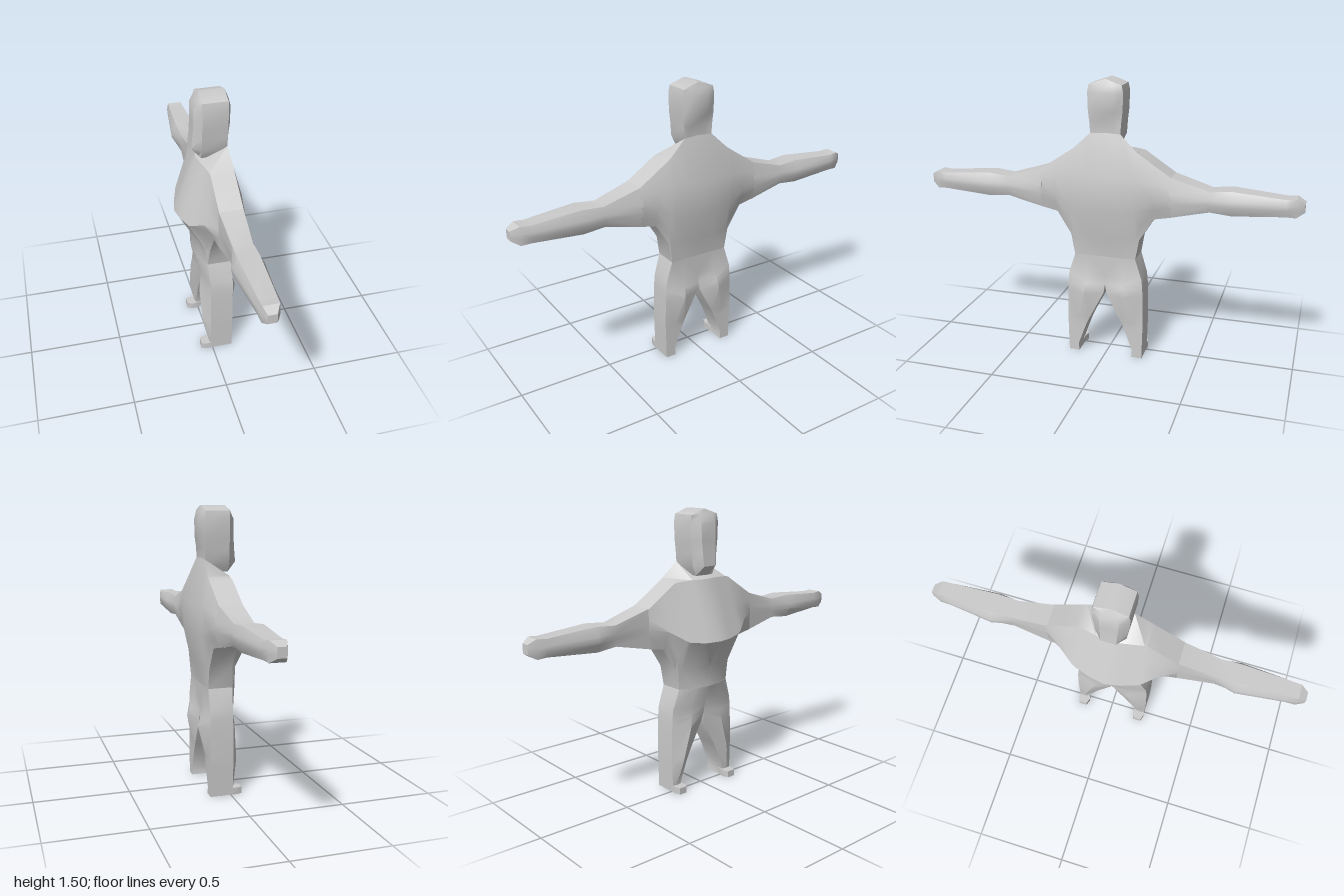
import * as THREE from 'three';
import { toCreasedNormals } from 'three/addons/utils/BufferGeometryUtils.js';

const material = new THREE.MeshStandardMaterial({ color: 0xcccccc });

// Skin closed rings of [x, y, z] points, cap both ends, and turn faces outward.
function loft(name, rings) {
  const n = rings[0].length;
  const pts = rings.flat();
  const index = [];
  for (let r = 0; r < rings.length - 1; r++) {
    for (let i = 0; i < n; i++) {
      const j = (i + 1) % n, a = r * n + i, b = r * n + j;
      index.push(a, b, b + n, a, b + n, a + n);
    }
  }
  [0, rings.length - 1].forEach((r) => {
    const centre = [0, 1, 2].map((k) => rings[r].reduce((s, p) => s + p[k], 0) / n);
    const c = pts.push(centre) - 1;
    for (let i = 0; i < n; i++) {
      const a = r * n + i, b = r * n + (i + 1) % n;
      if (r === 0) index.push(c, b, a);
      else index.push(c, a, b);
    }
  });
  const v = pts.map((p) => new THREE.Vector3(...p));
  let volume = 0;
  for (let i = 0; i < index.length; i += 3) {
    volume += v[index[i]].dot(v[index[i + 1]].clone().cross(v[index[i + 2]]));
  }
  if (volume < 0) index.reverse();
  const geometry = new THREE.BufferGeometry();
  geometry.setAttribute('position', new THREE.Float32BufferAttribute(pts.flat(), 3));
  geometry.setIndex(index);
  const mesh = new THREE.Mesh(toCreasedNormals(geometry, 0.6), material);
  mesh.name = name;
  return mesh;
}

// Torso slice at z: five heights, the chest x at each, the back x at each.
function torsoRing(z, ys, chest, back, neckY = ys[0]) {
  const front = ys.map((y, i) => [chest[i], y, z]);
  const rear = ys.map((y, i) => [back[i], i === 0 ? neckY : y, z]);
  return [...front, ...rear.reverse()];
}

// Arm slice at z: a flat-edged section with a ridge at mid height.
function armRing([z, top, bottom, rimF, ridgeF, rimB, ridgeB], side) {
  const mid = (top + bottom) / 2;
  const q = (top - bottom) * 0.12;
  return [
    [rimF, top, z * side], [ridgeF, mid + q, z * side], [ridgeF, mid - q, z * side], [rimF, bottom, z * side],
    [rimB, bottom, z * side], [ridgeB, mid - q, z * side], [ridgeB, mid + q, z * side], [rimB, top, z * side],
  ];
}

// Head slice at y: flat sides with a narrower raised face and back.
function headRing([y, w, rimF, faceF, rimB, faceB]) {
  const k = w * 0.5;
  return [
    [rimF, y, -w], [faceF, y, -k], [faceF, y, k], [rimF, y, w],
    [rimB, y, w], [faceB, y, k], [faceB, y, -k], [rimB, y, -w],
  ];
}

// Leg slice at y: inner, middle and outer points on the front and the back.
function legRing([y, inner, outer, fi, fm, fo, bm], side) {
  const mid = (inner + outer) / 2;
  return [
    [fi, y, inner * side], [fm, y, mid * side], [fo, y, outer * side],
    [0.11, y, outer * side], [bm, y, mid * side], [0.11, y, inner * side],
  ];
}

export function createModel() {
  const body = new THREE.Group();
  body.name = 'figure';

  // Torso from shoulder to shoulder, swelling at the chest
  const slices = [
    [0, [1.14, 1.0, 0.83, 0.68, 0.57], [-0.045, -0.1, -0.16, -0.07, -0.07], [0.1, 0.16, 0.16, 0.125, 0.11], 1.23],
    [0.08, [1.14, 1.0, 0.83, 0.68, 0.57], [-0.03, -0.085, -0.145, -0.06, -0.06], [0.1, 0.157, 0.157, 0.122, 0.11], 1.225],
    [0.165, [1.135, 1.0, 0.84, 0.68, 0.57], [-0.012, -0.06, -0.12, -0.035, -0.02], [0.11, 0.15, 0.15, 0.115, 0.11], 1.145],
    [0.185, [1.13, 1.0, 0.85, 0.74, 0.68], [-0.012, -0.055, -0.113, -0.035, -0.012], [0.11, 0.148, 0.147, 0.12, 0.11]],
    [0.26, [1.08, 0.99, 0.9, 0.85, 0.8], [-0.012, -0.04, -0.065, -0.035, -0.012], [0.11, 0.135, 0.14, 0.125, 0.11]],
    [0.35, [1.02, 0.97, 0.92, 0.87, 0.818], [-0.012, -0.013, -0.015, -0.013, -0.012], [0.11, 0.123, 0.13, 0.123, 0.11]],
  ];
  const half = slices.map(([z, ...rest]) => torsoRing(z, ...rest));
  const otherHalf = slices.slice(1).reverse().map(([z, ...rest]) => torsoRing(-z, ...rest));
  body.add(loft('torso', [...otherHalf, ...half]));

  // Head with a jutting chin and a shallow ridged crown
  const headRows = [
    [1.16, 0.055, -0.03, -0.035, 0.1, 0.1],
    [1.21, 0.078, -0.03, -0.075, 0.1, 0.1],
    [1.28, 0.083, -0.03, -0.068, 0.1, 0.1],
    [1.34, 0.09, -0.03, -0.064, 0.1, 0.12],
    [1.43, 0.093, -0.03, -0.062, 0.1, 0.12],
    [1.47, 0.085, -0.03, -0.045, 0.1, 0.11],
    [1.497, 0.006, -0.03, -0.03, 0.1, 0.1],
  ];
  body.add(loft('head', headRows.map(headRing)));

  const armRows = [
    [0.34, 1.025, 0.816, -0.012, -0.015, 0.11, 0.13],
    [0.54, 0.965, 0.86, 0, -0.003, 0.1, 0.112],
    [0.65, 0.975, 0.85, -0.005, -0.032, 0.1, 0.125],
    [0.91, 0.955, 0.868, 0.01, 0, 0.095, 0.107],
    [0.96, 0.96, 0.865, 0.012, 0.006, 0.09, 0.095],
    [1.0, 0.938, 0.89, 0.025, 0.023, 0.068, 0.07],
  ];
  const legRows = [
    [0.57, 0, 0.165, -0.07, -0.06, -0.02, 0.11],
    [0.46, 0, 0.2, -0.035, -0.037, -0.012, 0.11],
    [0.41, 0, 0.205, -0.025, -0.045, -0.012, 0.135],
    [0.36, 0.008, 0.207, -0.015, -0.052, -0.012, 0.15],
    [0.2, 0.09, 0.21, -0.012, -0.047, -0.012, 0.112],
    [0.16, 0.108, 0.209, -0.012, -0.043, -0.012, 0.11],
    [0.04, 0.152, 0.206, -0.012, -0.016, -0.012, 0.11],
    [0, 0.148, 0.205, -0.012, -0.016, -0.012, 0.11],
  ];
  // Toe rows: x, inner z, outer z
  const toeRows = [[0.02, 0.15, 0.205], [-0.03, 0.14, 0.207], [-0.062, 0.152, 0.198]];

  for (const [side, label] of [[1, 'left'], [-1, 'right']]) {
    body.add(loft(label + 'Arm', armRows.map((row) => armRing(row, side))));
    body.add(loft(label + 'Leg', legRows.map((row) => legRing(row, side))));
    body.add(loft(label + 'Foot', toeRows.map(([x, a, b]) => [
      [x, 0, a * side], [x, 0, b * side], [x, 0.036, b * side], [x, 0.036, a * side],
    ])));
  }
  return body;
}
